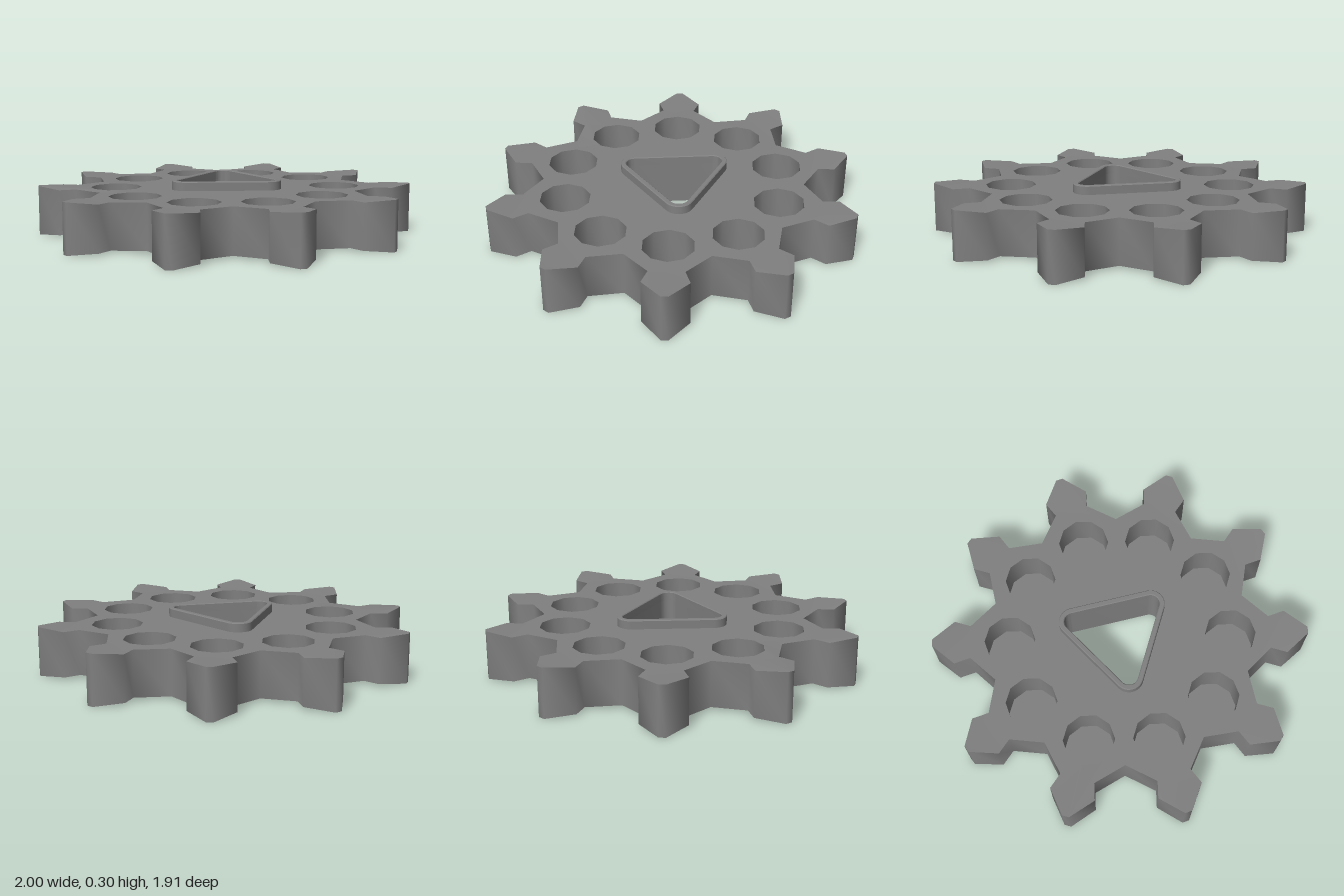
import * as THREE from 'three';
import { toCreasedNormals } from 'three/addons/utils/BufferGeometryUtils.js';

const TEETH = 10;
const BOTTOM = 0.012, FLOOR = 0.05, TOP = 0.252, FLARE = 0.01;
const material = new THREE.MeshStandardMaterial({ color: 0x808080 });

// Star outline: valley, neck, shoulder, blunt tip, repeated around the centre
function starShape() {
  const tooth = [[0.664, -0.216], [0.797, -0.09], [0.882, -0.118], [1, -0.018],
    [1, 0.018], [0.882, 0.118], [0.797, 0.09]];
  const points = [];
  for (let i = 0; i < TEETH; i++) {
    const a = (i / TEETH) * Math.PI * 2;
    for (const [x, y] of tooth) {
      points.push(new THREE.Vector2(x, y).rotateAround(new THREE.Vector2(), a));
    }
  }
  return new THREE.Shape(points);
}

// Equilateral triangle with rounded corners, apex towards the back
function roundedTriangle(target, radius) {
  for (let i = 0; i < 3; i++) {
    const a = Math.PI / 2 + (i * Math.PI * 2) / 3;
    target.absarc(0.245 * Math.cos(a), 0.015 + 0.245 * Math.sin(a), radius,
      a - Math.PI / 3, a + Math.PI / 3, false);
  }
  target.closePath();
  return target;
}

// Ten-sided pocket outline
function pocketPoints(index) {
  const angle = (index / TEETH) * Math.PI * 2;
  const points = [];
  for (let i = 0; i < 10; i++) {
    const a = (i / 10) * Math.PI * 2;
    points.push(new THREE.Vector2(
      0.587 * Math.cos(angle) + 0.135 * Math.cos(a),
      0.587 * Math.sin(angle) + 0.135 * Math.sin(a)));
  }
  return points;
}

// Extrude a flat shape upwards from y0 to y1
function slab(shape, y0, y1, options = {}) {
  const geometry = new THREE.ExtrudeGeometry(shape,
    { depth: y1 - y0, bevelEnabled: false, curveSegments: 6, ...options });
  geometry.rotateX(-Math.PI / 2);
  geometry.translate(0, y0, 0);
  return geometry;
}

// Make the tooth tips slightly thicker, above and below
function flareTips(geometry) {
  const p = geometry.attributes.position;
  for (let i = 0; i < p.count; i++) {
    if (Math.hypot(p.getX(i), p.getZ(i)) > 0.95) {
      p.setY(i, p.getY(i) > 0.1 ? TOP + FLARE : 0);
    }
  }
  return geometry;
}

function addMesh(group, name, geometry, crease) {
  const mesh = new THREE.Mesh(toCreasedNormals(geometry, crease), material);
  mesh.name = name;
  group.add(mesh);
}

export function createModel() {
  const group = new THREE.Group();
  group.name = 'toothedWheel';

  // Main body with the triangular opening and the ring of pockets
  const body = starShape();
  body.holes.push(roundedTriangle(new THREE.Path(), 0.048));
  for (let i = 0; i < TEETH; i++) {
    const outline = pocketPoints(i);
    body.holes.push(new THREE.Path(outline));
    // Floor that closes each pocket from below
    addMesh(group, 'pocketFloor', slab(new THREE.Shape(outline), BOTTOM, FLOOR), 0.5);
  }
  addMesh(group, 'wheelBody', flareTips(slab(body, BOTTOM, TOP)), 1.15);

  // Raised collar around the triangular opening
  const collar = roundedTriangle(new THREE.Shape(), 0.076);
  collar.holes.push(roundedTriangle(new THREE.Path(), 0.048));
  const bevel = 0.004;
  addMesh(group, 'triangleCollar', slab(collar, TOP, 0.3 - bevel, {
    bevelEnabled: true, bevelThickness: bevel, bevelSize: bevel,
    bevelOffset: -bevel, bevelSegments: 1,
  }), 0.7);

  return group;
}
